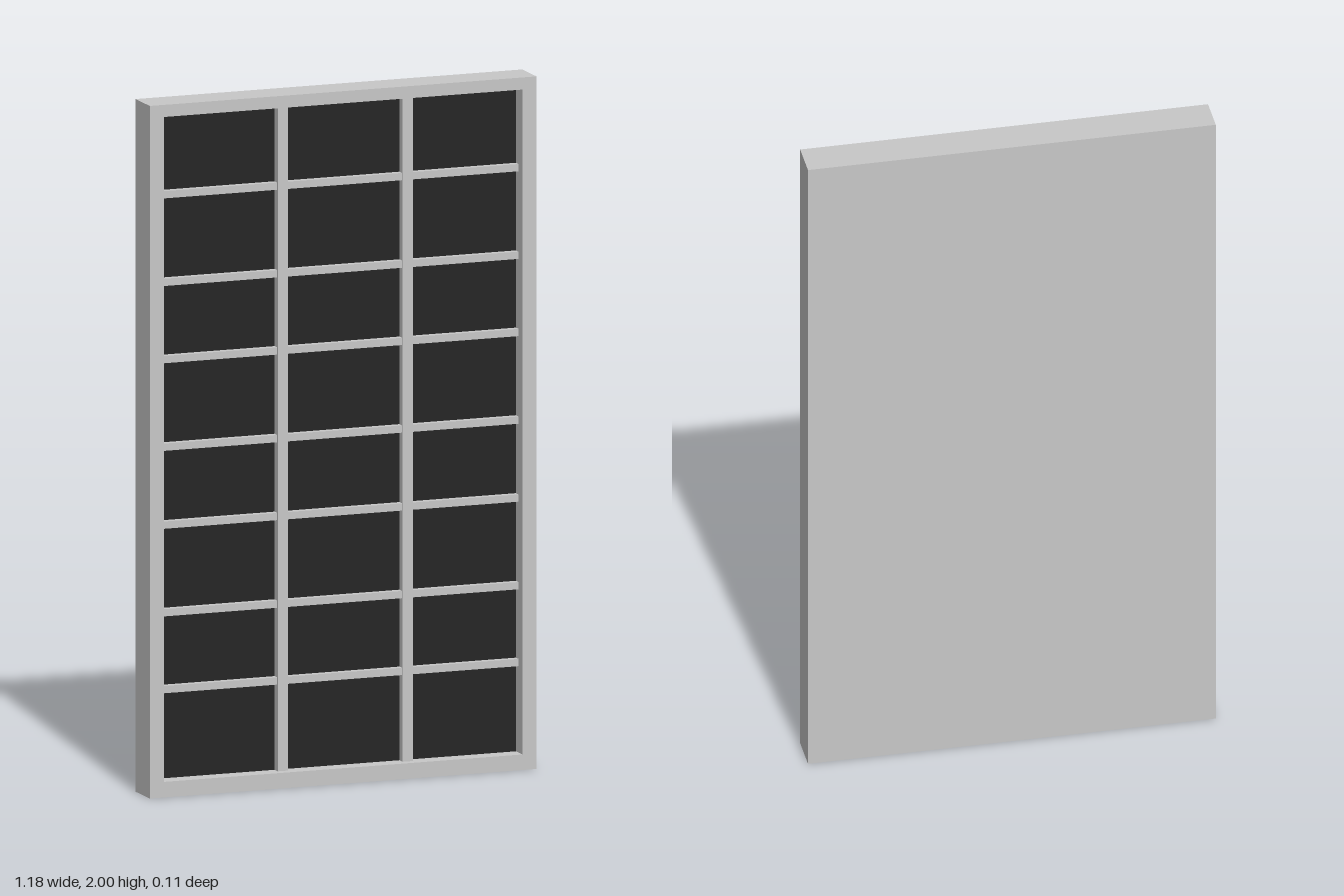
import * as THREE from 'three';

export function createModel() {
  const model = new THREE.Group();
  const frameGrey = new THREE.MeshStandardMaterial({ color: 0xc8c8c8 });
  frameGrey.name = 'frameGrey';
  const panelBlack = new THREE.MeshStandardMaterial({ color: 0x222222 });
  panelBlack.name = 'panelBlack';

  const HALF_W = 0.59, HEIGHT = 2, HALF_D = 0.055;
  const IN_X = 0.547, IN_BOTTOM = 0.045, IN_TOP = 1.965;
  const PANEL_Z = 0.005; // front of the recessed panel
  const midY = (IN_BOTTOM + IN_TOP) / 2, inH = IN_TOP - IN_BOTTOM;

  function box(name, w, h, d, x, y, z, material) {
    const mesh = new THREE.Mesh(new THREE.BoxGeometry(w, h, d), material);
    mesh.name = name;
    mesh.position.set(x, y, z);
    model.add(mesh);
  }

  function rectangle(path, x, y0, y1) {
    path.moveTo(-x, y0).lineTo(x, y0).lineTo(x, y1).lineTo(-x, y1).closePath();
    return path;
  }

  // Outer frame with a rectangular opening
  const outline = rectangle(new THREE.Shape(), HALF_W, 0, HEIGHT);
  outline.holes.push(rectangle(new THREE.Path(), IN_X, IN_BOTTOM, IN_TOP));
  const frame = new THREE.Mesh(
    new THREE.ExtrudeGeometry(outline, { depth: HALF_D * 2, bevelEnabled: false }), frameGrey);
  frame.name = 'outerFrame';
  frame.position.z = -HALF_D;
  model.add(frame);

  // Solid back and the dark panel set into the opening
  const backDepth = PANEL_Z - 0.008 + HALF_D;
  box('backPlate', IN_X * 2, inH, backDepth, 0, midY, -HALF_D + backDepth / 2, frameGrey);
  box('darkPanel', IN_X * 2, inH, 0.008, 0, midY, PANEL_Z - 0.004, panelBlack);

  // Upright dividers
  for (const x of [-0.174, 0.207]) {
    box('uprightDivider', 0.031, inH, 0.025, x, midY, PANEL_Z + 0.0125, frameGrey);
  }

  // Cross bars, slightly shallower than the uprights
  for (const y of [0.305, 0.527, 0.78, 1.005, 1.258, 1.481, 1.734]) {
    box('crossBar', IN_X * 2, 0.021, 0.02, 0, y, PANEL_Z + 0.01, frameGrey);
  }

  return model;
}
